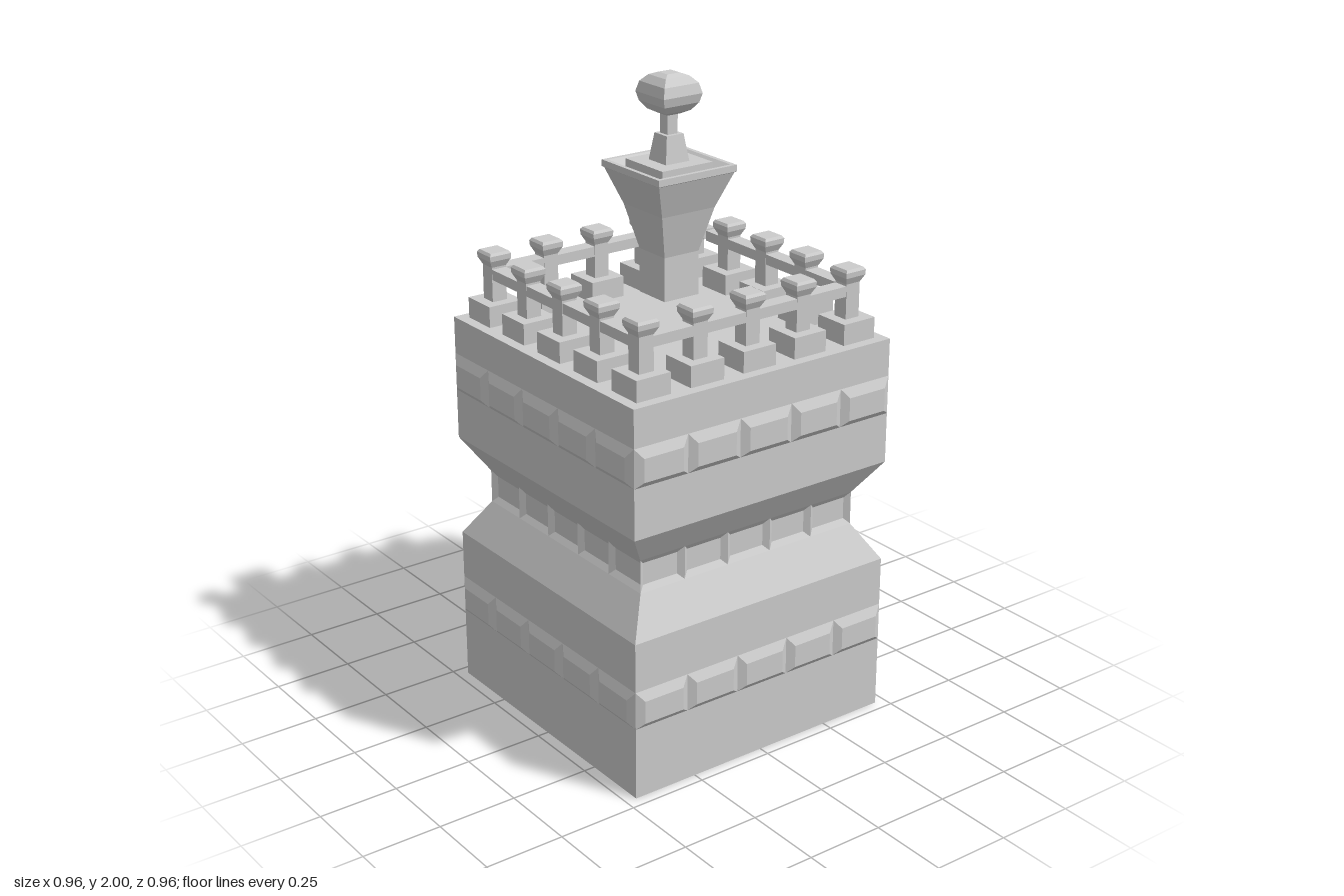
import * as THREE from 'three';

const material = new THREE.MeshStandardMaterial({ color: 0xcccccc, flatShading: true });

function add(parent, name, geometry, x = 0, y = 0, z = 0) {
  const mesh = new THREE.Mesh(geometry, material);
  mesh.name = name;
  mesh.position.set(x, y, z);
  parent.add(mesh);
  return mesh;
}

// Square solid from a profile of [half width, height], bottom to top
function squareTurned(profile) {
  const points = profile.map(([h, y]) => new THREE.Vector2(h * Math.SQRT2, y));
  return new THREE.LatheGeometry(points, 4).rotateY(Math.PI / 4);
}

// Bevelled panel facing +z: an outer rectangle at z = 0, an inner one at z = depth
function panel(width, y0, y1, bevel, bottomBevel, topBevel, depth) {
  const w = width / 2, v = w - bevel, a = y0 + bottomBevel, b = y1 - topBevel;
  const outer = [[-w, y0, 0], [w, y0, 0], [w, y1, 0], [-w, y1, 0]];
  const inner = [[-v, a, depth], [v, a, depth], [v, b, depth], [-v, b, depth]];
  const positions = [];
  const quad = (p, q, r, s) => positions.push(...p, ...q, ...r, ...p, ...r, ...s);
  quad(...inner);
  for (let i = 0; i < 4; i++) {
    const j = (i + 1) % 4;
    quad(outer[i], outer[j], inner[j], inner[i]);
  }
  const geometry = new THREE.BufferGeometry();
  geometry.setAttribute('position', new THREE.Float32BufferAttribute(positions, 3));
  geometry.computeVertexNormals();
  return geometry;
}

// Five panels on each of the four sides
function panelRing(parent, name, half, geometry) {
  const ring = new THREE.Group();
  ring.name = name;
  for (let side = 0; side < 4; side++) {
    const face = new THREE.Group();
    face.name = name + 'Side';
    face.rotation.y = side * Math.PI / 2;
    for (let i = -2; i <= 2; i++) add(face, name + 'Panel', geometry, i * half * 0.4, 0, half);
    ring.add(face);
  }
  parent.add(ring);
}

export function createModel() {
  const model = new THREE.Group();
  model.name = 'tower';
  const H = 0.465, W = 0.395;

  // Tower body, open at the waist where the recessed panels close it
  add(model, 'lowerBody', squareTurned([[0, 0], [H, 0], [H, 0.505], [W, 0.618]]));
  add(model, 'upperBody', squareTurned([[W, 0.723], [H, 0.83], [H, 1.225], [0, 1.225]]));
  panelRing(model, 'waistWindows', W, panel(W * 0.4, 0.618, 0.723, 0.018, 0.018, 0.018, -0.013));

  // Raised block bands
  for (const [name, y] of [['lowerBand', 0.23], ['upperBand', 0.988]]) {
    panelRing(model, name, H, panel(H * 0.4, y, y + 0.12, 0.025, 0.018, 0.03, 0.014));
  }

  // Posts around the roof edge
  const railing = new THREE.Group();
  railing.name = 'railing';
  model.add(railing);
  const R = 0.373;
  const base = new THREE.BoxGeometry(0.117, 0.065, 0.117);
  const post = squareTurned([[0.025, 1.29], [0.025, 1.398], [0.036, 1.42], [0.037, 1.436], [0.031, 1.444], [0, 1.444]]);
  for (let i = -2; i <= 2; i++) {
    for (let j = -2; j <= 2; j++) {
      if (Math.max(Math.abs(i), Math.abs(j)) < 2) continue;
      add(railing, 'postBase', base, i * R / 2, 1.2575, j * R / 2);
      add(railing, 'post', post, i * R / 2, 0, j * R / 2);
    }
  }

  // Rails, the back one with a small break
  const rail = (x0, x1, z0, z1) =>
    add(railing, 'rail', new THREE.BoxGeometry(x1 - x0, 0.032, z1 - z0), (x0 + x1) / 2, 1.376, (z0 + z1) / 2);
  const t = 0.024;
  rail(-R, R, R - t, R + t);
  rail(-R, -0.287, -R - t, -R + t);
  rail(-0.275, R, -R - t, -R + t);
  rail(-R - t, -R + t, -R, R);
  rail(R - t, R + t, -R, R);

  // Hovering flared pedestal with a sunken rim and plinth
  add(model, 'pedestal', squareTurned([
    [0, 1.335], [0.062, 1.335], [0.062, 1.47], [0.095, 1.605], [0.135, 1.712], [0.14, 1.715],
    [0.14, 1.735], [0.127, 1.735], [0.1, 1.715], [0.09, 1.715], [0.09, 1.741], [0, 1.741],
  ]));

  // Tapered spire, pin and square-cut knob
  add(model, 'spire', squareTurned([
    [0.042, 1.741], [0.03, 1.822], [0.018, 1.822], [0.018, 1.885],
  ]));
  add(model, 'knob', squareTurned([
    [0, 1.88], [0.022, 1.88], [0.045, 1.892], [0.062, 1.915], [0.069, 1.942],
    [0.061, 1.972], [0.042, 1.992], [0.022, 2], [0, 2],
  ]));
  return model;
}
